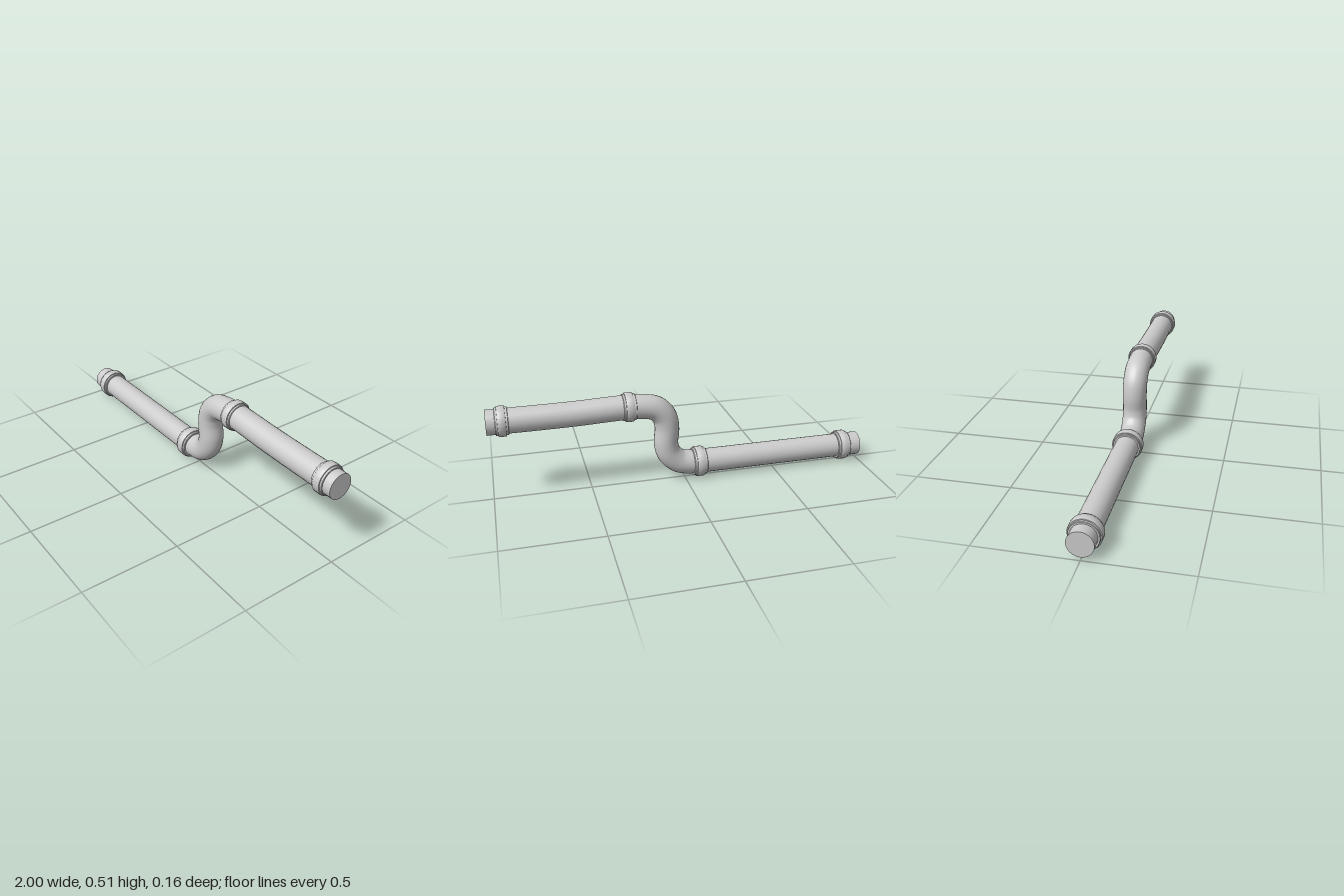
import * as THREE from 'three';
import { toCreasedNormals } from 'three/addons/utils/BufferGeometryUtils.js';

const SIDES = 24;
const PIPE_RADIUS = 0.064;

export function createModel() {
  const model = new THREE.Group();
  model.name = 'bentPipe';
  const material = new THREE.MeshStandardMaterial({ color: 0xcccccc });

  const add = (name, geometry, x = 0, y = 0) => {
    const mesh = new THREE.Mesh(geometry, material);
    mesh.name = name;
    mesh.position.set(x, y, 0);
    model.add(mesh);
    return mesh;
  };

  // Pipe: low run, S-bend upward, slightly sagging high run
  const path = new THREE.CatmullRomCurve3([
    [-1, 0.084], [-0.5, 0.084], [-0.1, 0.084], [-0.04, 0.085],
    [0.03, 0.1], [0.083, 0.15], [0.1, 0.21], [0.094, 0.3],
    [0.107, 0.365], [0.15, 0.412], [0.22, 0.429], [0.29, 0.433],
    [0.4, 0.431], [0.55, 0.426], [0.75, 0.424], [1, 0.424],
  ].map(([x, y]) => new THREE.Vector3(x, y, 0)));
  add('pipe', new THREE.TubeGeometry(path, 140, PIPE_RADIUS, SIDES, false));

  // Flat end caps
  for (const [name, x, y] of [['rightEndCap', -1, 0.084], ['leftEndCap', 1, 0.424]]) {
    const cap = new THREE.CircleGeometry(PIPE_RADIUS, SIDES);
    cap.rotateY(Math.sign(x) * Math.PI / 2);
    add(name, cap, x, y);
  }

  // Stepped collars: a thin sleeve with a raised, bevelled band
  const makeCollar = (halfWidth, radius) => {
    const profile = [
      [0.06, -1], [radius - 0.009, -1], [radius - 0.007, -0.94],
      [radius - 0.007, -0.64], [radius - 0.002, -0.62], [radius, -0.52],
      [radius, 0.52], [radius - 0.002, 0.62], [radius - 0.007, 0.64],
      [radius - 0.007, 0.94], [radius - 0.009, 1], [0.06, 1],
    ].map(([r, t]) => new THREE.Vector2(r, t * halfWidth));
    const geometry = new THREE.LatheGeometry(profile, SIDES);
    geometry.rotateZ(-Math.PI / 2);
    return toCreasedNormals(geometry, 0.6);
  };
  const collars = [
    [-0.905, 0.084, 0.035, 0.081],
    [-0.078, 0.084, 0.035, 0.081],
    [0.293, 0.433, 0.033, 0.076],
    [0.924, 0.424, 0.032, 0.077],
  ];
  collars.forEach(([x, y, halfWidth, radius], i) => {
    add(`collar${i + 1}`, makeCollar(halfWidth, radius), x, y);
  });

  return model;
}
